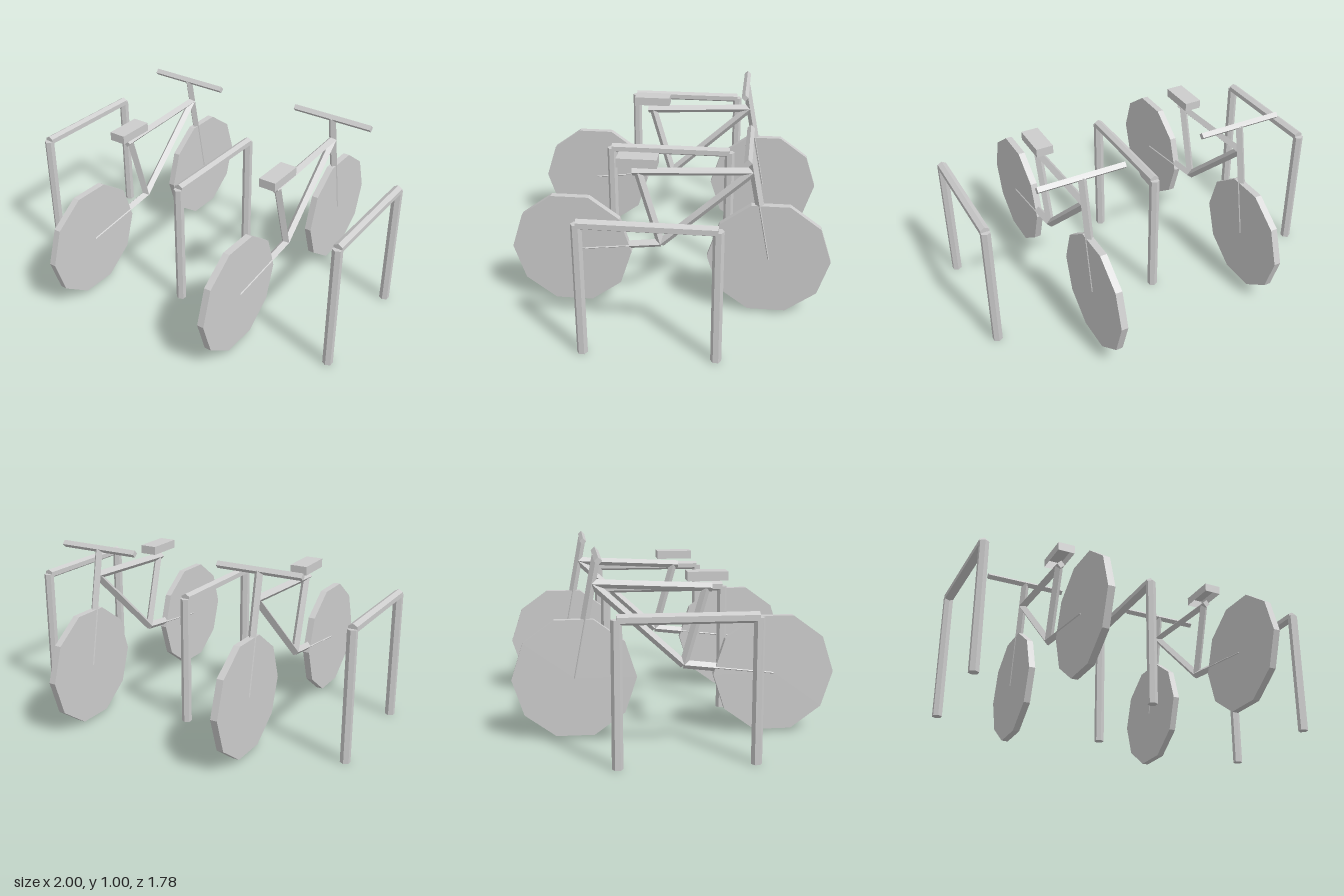
import * as THREE from 'three';

const grey = new THREE.MeshStandardMaterial({ color: 0xcccccc });
grey.name = 'light grey';
grey.flatShading = true;
grey.side = THREE.DoubleSide;

const UP = new THREE.Vector3(0, 1, 0);

function addMesh(parent, name, geometry) {
  const mesh = new THREE.Mesh(geometry, grey);
  mesh.name = name;
  parent.add(mesh);
  return mesh;
}

// Straight low-poly tube between two points
function addTube(parent, name, a, b, radius, sides) {
  const from = new THREE.Vector3(...a);
  const dir = new THREE.Vector3(...b).sub(from);
  const mesh = addMesh(parent, name, new THREE.CylinderGeometry(radius, radius, dir.length(), sides));
  mesh.position.copy(from).addScaledVector(dir, 0.5);
  mesh.quaternion.setFromUnitVectors(UP, dir.normalize());
  return mesh;
}

// Hoop stand: two hexagonal posts and a top rail
function createStand(x) {
  const stand = new THREE.Group();
  stand.name = 'bikeStand';
  const r = 0.028, top = 0.734, back = -0.317, front = 0.366;
  addTube(stand, 'backPost', [0, 0, back], [0, top, back], r, 6);
  addTube(stand, 'frontPost', [0, 0, front], [0, top, front], r, 6);
  addTube(stand, 'topRail', [0, top, back], [0, top, front], r, 6);
  stand.position.x = x;
  return stand;
}

function createBike(x, z) {
  const bike = new THREE.Group();
  bike.name = 'bicycle';
  const r = 0.0235;
  const rearHub = [0, 0.333, 0.51], frontHub = [0, 0.333, -0.56];
  const crank = [0, 0.39, 0.022], head = [0, 0.834, -0.463];

  // Solid ten-sided wheels
  for (const [name, hub] of [['rearWheel', rearHub], ['frontWheel', frontHub]]) {
    const geometry = new THREE.CylinderGeometry(0.33, 0.33, 0.038, 10).rotateZ(Math.PI / 2);
    addMesh(bike, name, geometry).position.set(...hub);
  }

  // Frame of diamond-section tubes
  addTube(bike, 'chainStay', crank, rearHub, r, 4);
  addTube(bike, 'seatTube', crank, [0, 0.8, 0.138], r, 4);
  addTube(bike, 'downTube', crank, head, r, 4);
  addTube(bike, 'topTube', [0, 0.804, 0.17], head, r, 4);
  addTube(bike, 'fork', frontHub, [0, 0.98, -0.437], r, 4);
  addTube(bike, 'handlebar', [-0.243, 0.98, -0.437], [0.243, 0.98, -0.437], 0.02, 4);

  // Hollow saddle, open underneath
  const saddle = new THREE.BoxGeometry(0.098, 0.049, 0.214);
  const index = Array.from(saddle.index.array);
  index.splice(18, 6);
  saddle.setIndex(index);
  saddle.clearGroups();
  addMesh(bike, 'saddle', saddle).position.set(0, 0.869, 0.14);

  bike.position.set(x, 0, z);
  return bike;
}

export function createModel() {
  const model = new THREE.Group();
  model.name = 'bicycleRack';
  for (const x of [-0.975, 0, 0.975]) model.add(createStand(x));
  model.add(createBike(0.4875, 0));
  model.add(createBike(-0.4875, 0.05));
  return model;
}
